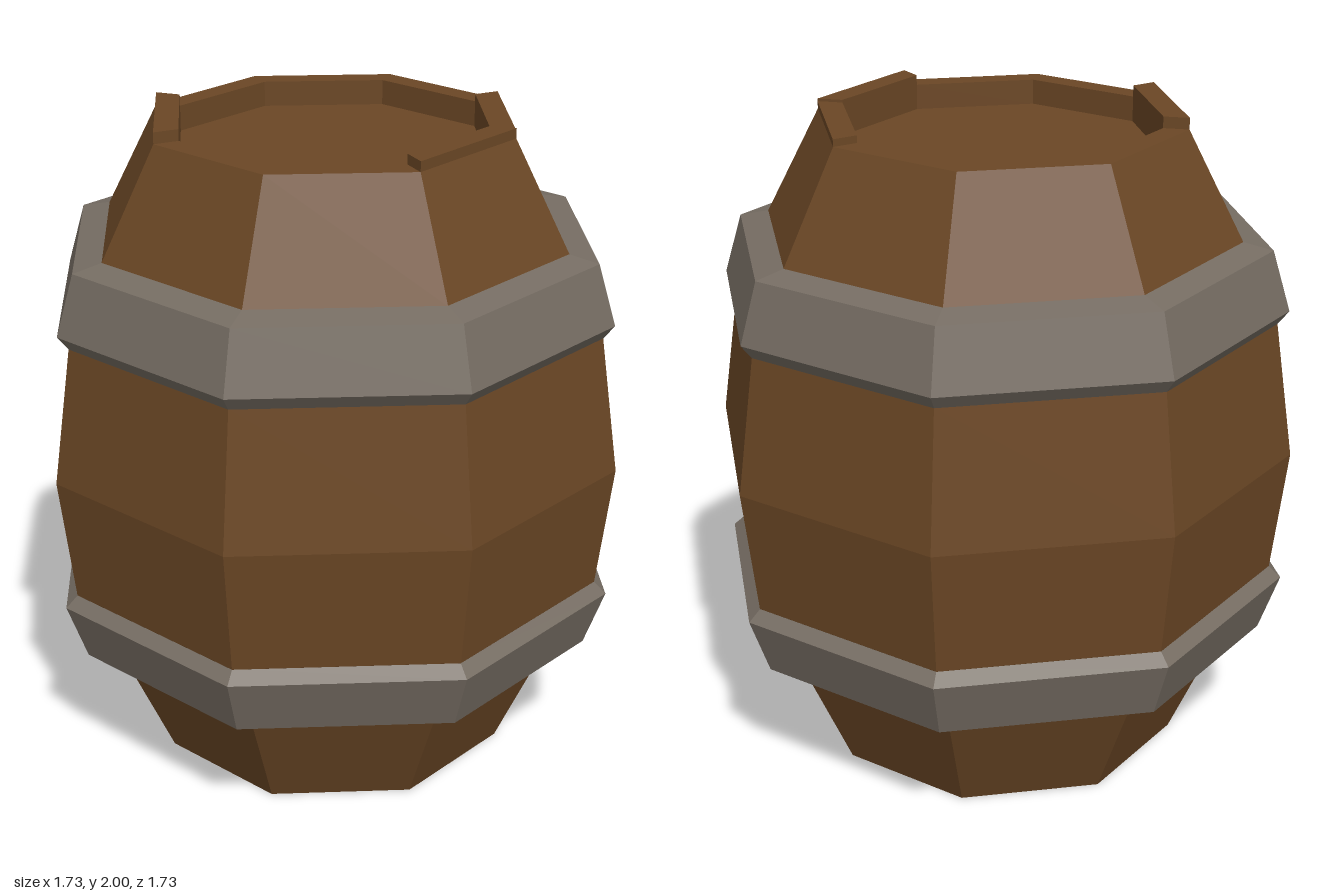
import * as THREE from 'three';

const SIDES = 8;
const STEP = (Math.PI * 2) / SIDES;
const START = THREE.MathUtils.degToRad(31.2); // twist of the octagon about y
const RIM_OUT = 0.551, RIM_IN = 0.475, RIM_Y = 1.966;

// Eight-sided turned part from [radius, height] pairs, listed bottom to top
function turned(name, profile, material) {
  const points = profile.map(([r, y]) => new THREE.Vector2(r, y));
  const mesh = new THREE.Mesh(new THREE.LatheGeometry(points, SIDES, START), material);
  mesh.name = name;
  return mesh;
}

// Raised end of one stave, standing on the rim between two octagon corners
function staveEnd(index, top, material) {
  const a = START + index * STEP, b = a + STEP;
  const corner = (r, t) => new THREE.Vector2(r * Math.sin(t), -r * Math.cos(t));
  const shape = new THREE.Shape([
    corner(RIM_OUT, a), corner(RIM_OUT, b), corner(RIM_IN, b), corner(RIM_IN, a),
  ]);
  const geometry = new THREE.ExtrudeGeometry(shape, { depth: top - RIM_Y, bevelEnabled: false });
  geometry.rotateX(-Math.PI / 2);
  const mesh = new THREE.Mesh(geometry, material);
  mesh.position.y = RIM_Y;
  mesh.name = 'staveEnd' + index;
  return mesh;
}

export function createModel() {
  const wood = new THREE.MeshStandardMaterial({ name: 'brown wood', color: 0x6b4725, flatShading: true });
  const iron = new THREE.MeshStandardMaterial({ name: 'grey iron', color: 0x766d63, flatShading: true });

  const barrel = new THREE.Group();
  barrel.name = 'barrel';

  // Staves, base, rim and sunken lid in one profile
  barrel.add(turned('body', [
    [0, 0], [RIM_OUT, 0], [0.724, 0.39], [0.845, 0.605], [0.89, 0.985],
    [0.83, 1.4], [0.72, 1.64], [RIM_OUT, RIM_Y], [RIM_IN, RIM_Y], [RIM_IN, 1.89], [0, 1.89],
  ], wood));

  // Hoops
  barrel.add(turned('lowerHoop', [
    [0.715, 0.388], [0.82, 0.393], [0.882, 0.57], [0.842, 0.607],
  ], iron));
  barrel.add(turned('upperHoop', [
    [0.828, 1.395], [0.863, 1.44], [0.808, 1.622], [0.718, 1.642],
  ], iron));

  // Uneven stave ends: front-left, back-right and front
  for (const [index, top] of [[0, 1.988], [4, 2.0], [7, 1.996]]) {
    barrel.add(staveEnd(index, top, wood));
  }
  return barrel;
}
